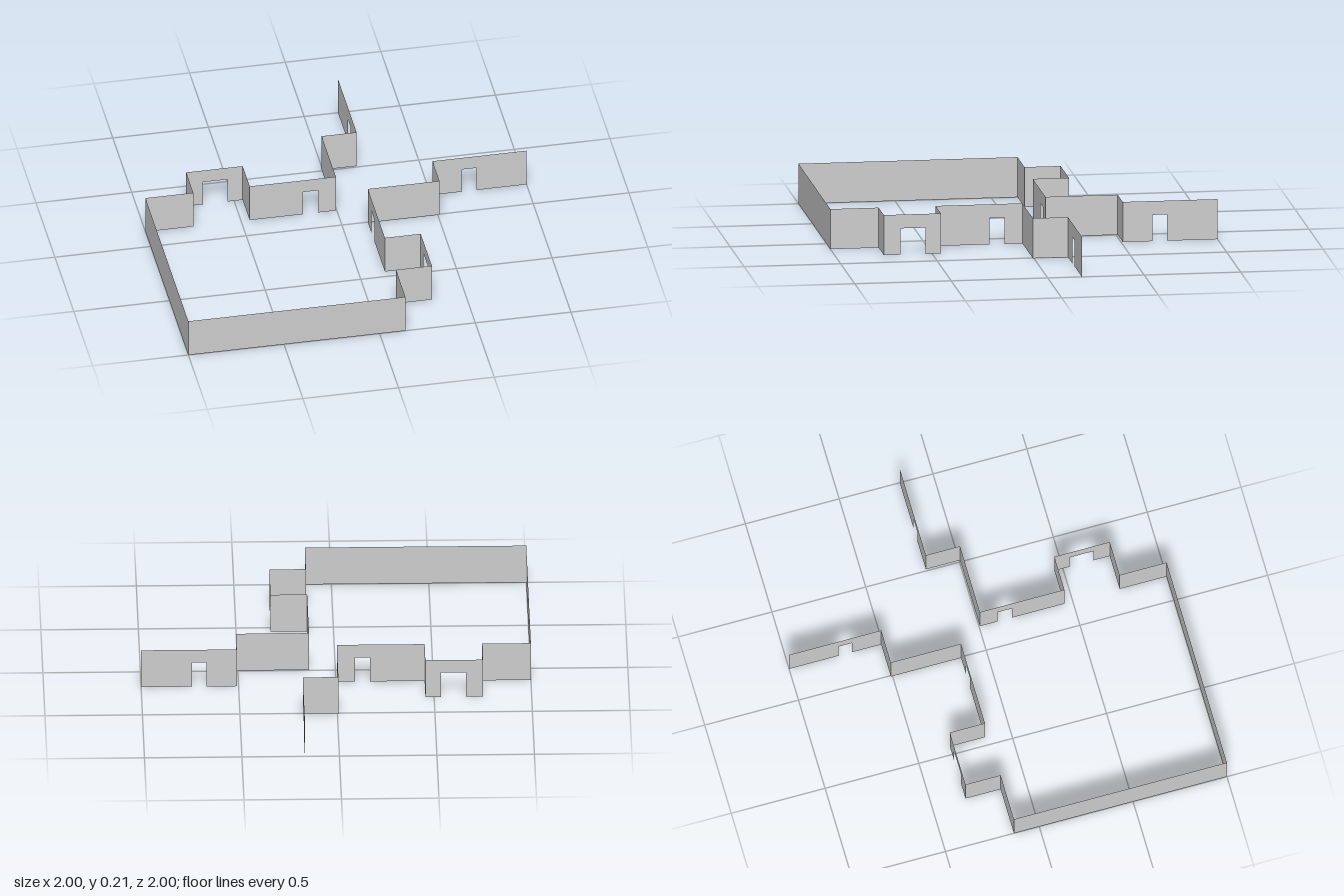
import * as THREE from 'three';

const WALL_HEIGHT = 0.21;
const DOOR_HEIGHT = 0.138;

// Plan of one run of walls as [x, z] corners, starting at the outer corner
const plan = [
  [-1, 1], [0.135, 1], [0.135, 0.75], [0.322, 0.75], [0.322, 0.455],
  [0.135, 0.455], [0.135, 0.005], [0.509, 0.005], [0.509, -0.177], [1, -0.177],
];

// Doorways by wall index: [start, end] measured along the wall
const doors = { 3: [0.087, 0.215], 5: [0.279, 0.356], 8: [0.155, 0.229] };

const material = new THREE.MeshStandardMaterial({
  color: 0xcccccc, flatShading: true, side: THREE.DoubleSide,
});

// Thin upright panel between two plan corners, with an optional doorway
function makeWall([x0, z0], [x1, z1], door) {
  const length = Math.hypot(x1 - x0, z1 - z0);
  const shape = new THREE.Shape();
  shape.moveTo(0, 0);
  if (door) {
    shape.lineTo(door[0], 0);
    shape.lineTo(door[0], DOOR_HEIGHT);
    shape.lineTo(door[1], DOOR_HEIGHT);
    shape.lineTo(door[1], 0);
  }
  shape.lineTo(length, 0);
  shape.lineTo(length, WALL_HEIGHT);
  shape.lineTo(0, WALL_HEIGHT);
  shape.closePath();

  const wall = new THREE.Mesh(new THREE.ShapeGeometry(shape), material);
  wall.position.set(x0, 0, z0);
  wall.rotation.y = Math.atan2(z0 - z1, x1 - x0);
  wall.name = door ? 'doorwayWall' : 'wall';
  return wall;
}

function makeWallRun(points, name) {
  const run = new THREE.Group();
  run.name = name;
  for (let i = 0; i < points.length - 1; i++) {
    run.add(makeWall(points[i], points[i + 1], doors[i]));
  }
  return run;
}

export function createModel() {
  const model = new THREE.Group();
  model.name = 'floorPlanWalls';
  model.add(makeWallRun(plan, 'frontWalls'));
  // The second run mirrors the first across the plan's diagonal
  model.add(makeWallRun(plan.map(([x, z]) => [-z, -x]), 'backWalls'));
  return model;
}
